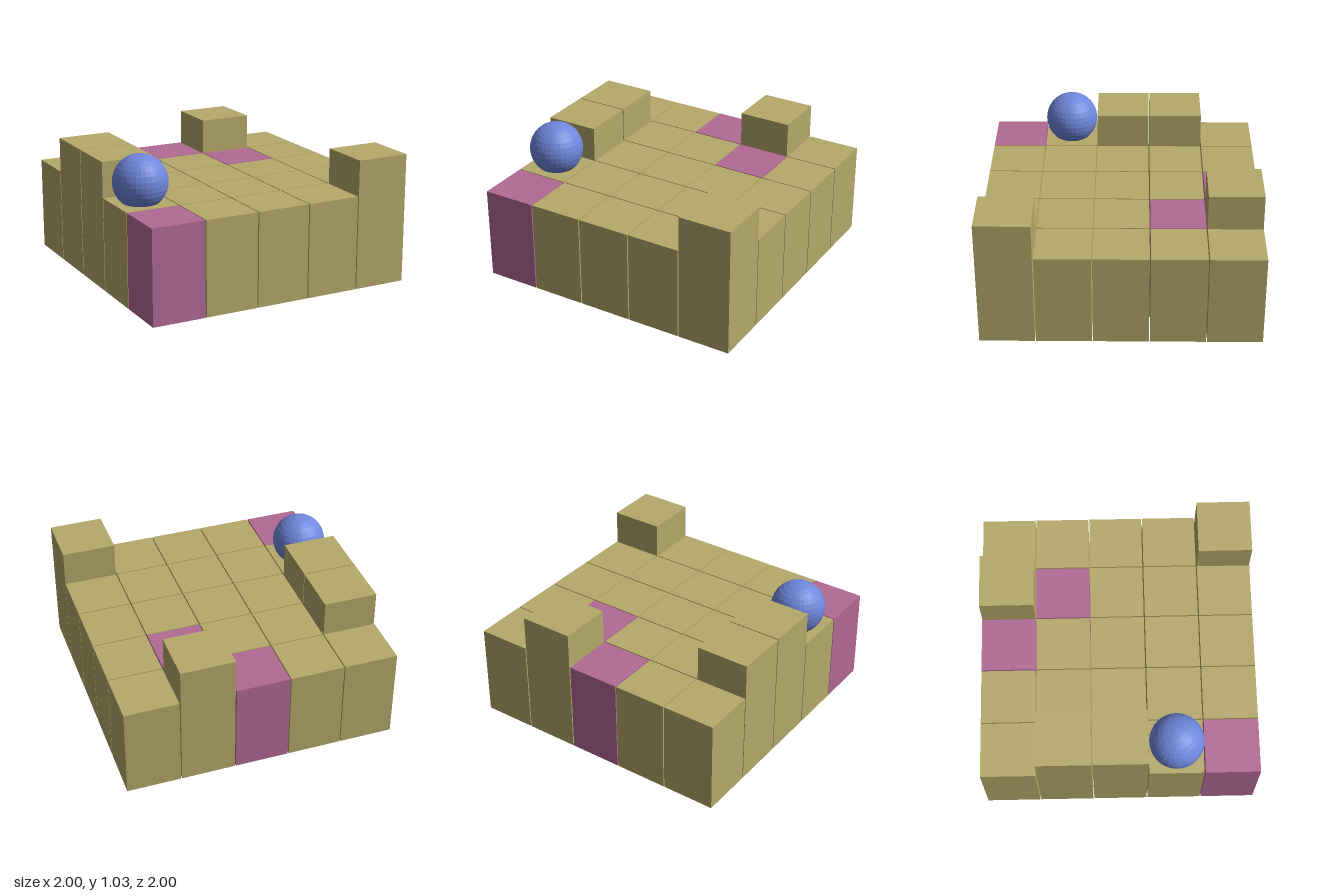
import * as THREE from 'three';

export function createModel() {
  const model = new THREE.Group();
  const sand = new THREE.MeshStandardMaterial({ color: 0xb5a96a });
  const pink = new THREE.MeshStandardMaterial({ color: 0xb26a95 });
  const blue = new THREE.MeshStandardMaterial({ color: 0x6f87dc, flatShading: true });

  const pitch = 0.4016, width = 0.3936; // narrow gaps between columns
  const low = 0.69, tall = 0.95;

  // Floor plan, back row first: o = low, T = tall, P = pink
  const plan = [
    'ooPTo',
    'TooPo',
    'Toooo',
    'ooooo',
    'PoooT',
  ];

  plan.forEach((row, r) => [...row].forEach((kind, c) => {
    const height = kind === 'T' ? tall : low;
    const column = new THREE.Mesh(
      new THREE.BoxGeometry(width, height, width), kind === 'P' ? pink : sand);
    column.position.set((c - 2) * pitch, height / 2, (r - 2) * pitch);
    column.name = { o: 'floorBlock', T: 'wallBlock', P: 'markedBlock' }[kind];
    model.add(column);
  }));

  // Ball, slightly sunk into the floor next to the front left corner of the plan
  const ball = new THREE.Mesh(new THREE.SphereGeometry(0.1968, 32, 16), blue);
  ball.position.set(-2 * pitch, 0.836, pitch);
  ball.name = 'ball';
  model.add(ball);

  return model;
}
